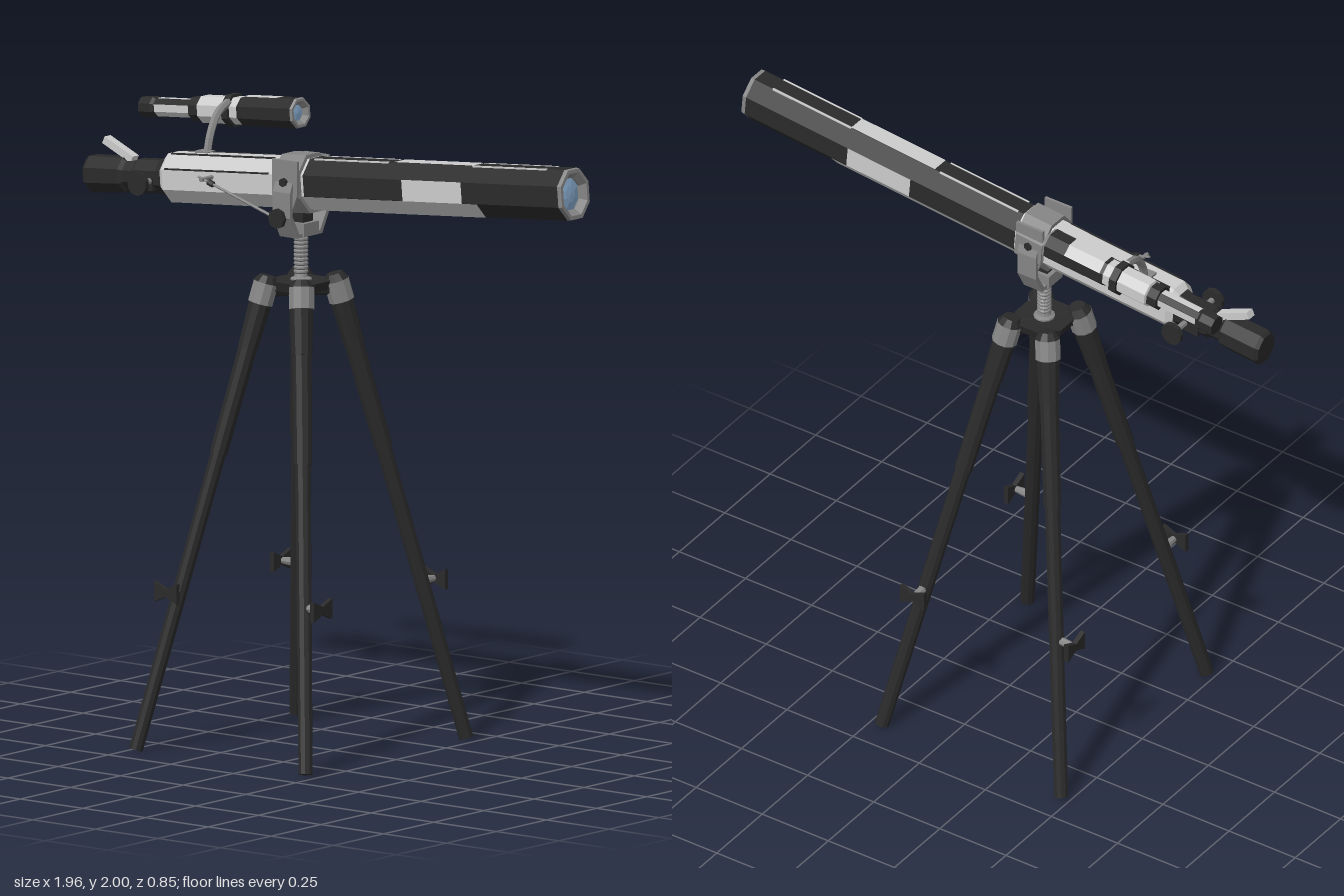
import * as THREE from 'three';

const mat = (color, extra = {}) =>
  new THREE.MeshStandardMaterial({ color, flatShading: true, ...extra });
const GREY = mat(0xcccccc);
const MID = mat(0x858585);
const DARK = mat(0x2a2a2a);
const GLASS = mat(0x86a9cc);
const V = (x, y, z) => new THREE.Vector3(x, y, z);

function add(parent, name, geometry, material, x = 0, y = 0, z = 0) {
  const mesh = new THREE.Mesh(geometry, material);
  mesh.name = name;
  mesh.position.set(x, y, z);
  parent.add(mesh);
  return mesh;
}

const box = (w, h, d) => new THREE.BoxGeometry(w, h, d);
const SECTOR = Math.PI / 4;
const CORNER = 1 / Math.cos(SECTOR / 2);

// Octagonal turned body along +x; profile entries are [x, distance to flat]
function octagon(profile, squash = 1) {
  const pts = profile.map(([x, r]) => new THREE.Vector2(r * CORNER, x));
  return new THREE.LatheGeometry(pts, 8, SECTOR / 2)
    .rotateZ(-Math.PI / 2).scale(1, 1, squash);
}

// One flat of an octagonal tube: 0 = +z, 2 = under, 4 = -z, 6 = top
function panel(x0, x1, r, index, squash = 1) {
  const R = (r + 0.0015) * CORNER;
  return new THREE.CylinderGeometry(R, R, x1 - x0, 1, 1, true, (index - 0.5) * SECTOR, SECTOR)
    .rotateZ(-Math.PI / 2).translate((x0 + x1) / 2, 0, 0).scale(1, 1, squash);
}

// Straight round bar between two points
function bar(parent, name, a, b, ra, rb, material, sides = 10) {
  const mesh = add(parent, name, new THREE.CylinderGeometry(rb, ra, a.distanceTo(b), sides), material);
  mesh.position.copy(a).lerp(b, 0.5);
  mesh.quaternion.setFromUnitVectors(V(0, 1, 0), b.clone().sub(a).normalize());
  return mesh;
}

// Bow-tie wing nut with its stem, pointing along +z
function wingNut() {
  const g = new THREE.Group();
  g.name = 'wingNut';
  const s = new THREE.Shape([[-0.045, -0.032], [0, -0.012], [0.045, -0.032], [0.045, 0.032],
    [0, 0.012], [-0.045, 0.032]].map(p => new THREE.Vector2(...p)));
  add(g, 'wings', new THREE.ExtrudeGeometry(s, { depth: 0.016, bevelEnabled: false }), DARK, 0, 0, 0.06);
  bar(g, 'stem', V(0, 0, 0), V(0, 0, 0.065), 0.016, 0.01, MID, 8);
  return g;
}

function buildTripod() {
  const g = new THREE.Group();
  g.name = 'tripod';
  for (const [sx, sz, turn] of [[1, 1, Math.PI / 2], [1, -1, Math.PI], [-1, -1, -Math.PI / 2], [-1, 1, 0]]) {
    const leg = new THREE.Group();
    leg.name = 'leg';
    const at = y => {
      const t = y / 1.48;
      return V(sx * (0.34 - 0.27 * t), y, sz * (0.402 - 0.317 * t));
    };
    bar(leg, 'lowerLeg', at(0.008), at(0.95), 0.023, 0.025, DARK);
    bar(leg, 'middleLeg', at(0.94), at(1.29), 0.029, 0.031, DARK);
    bar(leg, 'legSleeve', at(1.27), at(1.44), 0.033, 0.038, DARK);
    bar(leg, 'legClamp', at(1.41), at(1.475), 0.041, 0.041, MID);
    bar(leg, 'legCap', at(1.475), at(1.497), 0.041, 0.026, DARK);
    bar(leg, 'hinge', V(0, 1.455, 0), at(1.455), 0.024, 0.028, DARK, 8);
    const nut = wingNut();
    nut.position.copy(at(0.51));
    nut.rotation.y = turn;
    leg.add(nut);
    g.add(leg);
  }
  add(g, 'hub', new THREE.CylinderGeometry(0.095, 0.085, 0.03, 8, 1, false, SECTOR / 2), DARK, 0, 1.465, 0);

  // Ribbed centre column
  const rib = [[0, 1.44], [0.034, 1.44], [0.034, 1.485], [0.022, 1.49]];
  for (let i = 0; i < 10; i++) {
    const y = 1.5 + i * 0.013;
    rib.push([0.019, y], [0.023, y + 0.004], [0.023, y + 0.009]);
  }
  rib.push([0.02, 1.64], [0, 1.64]);
  add(g, 'column', new THREE.LatheGeometry(rib.map(p => new THREE.Vector2(...p)), 12), MID);
  return g;
}

function buildMount() {
  const g = new THREE.Group();
  g.name = 'mount';
  // U-shaped fork with thin walls
  const half = [[0.086, 1.80], [0.098, 1.77], [0.098, 1.69], [0.062, 1.622]];
  const inner = [[0.052, 1.634], [0.086, 1.695], [0.086, 1.765], [0.076, 1.80]];
  const right = half.map(([x, y]) => [x, y]);
  const left = half.map(([x, y]) => [-x, y]).reverse();
  const inLeft = inner.map(([x, y]) => [-x, y]).reverse();
  const u = new THREE.Shape([...right, ...left, ...inLeft, ...inner].map(p => new THREE.Vector2(...p)));
  add(g, 'fork', new THREE.ExtrudeGeometry(u, { depth: 0.07, bevelEnabled: false })
    .translate(0, 0, -0.035).rotateY(Math.PI / 2), MID);
  add(g, 'forkBase', box(0.085, 0.042, 0.075), MID, 0, 1.645, 0);
  add(g, 'saddleNeck', box(0.055, 0.05, 0.05), DARK, 0, 1.685, 0);
  for (const s of [-1, 1]) {
    // Saddle cheeks narrow towards the bottom
    const cheek = new THREE.Shape([[-0.05, 1.87], [-0.05, 1.76], [-0.025, 1.7], [0.025, 1.7],
      [0.05, 1.76], [0.05, 1.87]].map(p => new THREE.Vector2(...p)));
    add(g, 'saddleCheek', new THREE.ExtrudeGeometry(cheek, { depth: 0.01, bevelEnabled: false }),
      MID, 0, 0, s * 0.078 - 0.005);
    bar(g, 'pivotBolt', V(0, 1.8, s * 0.075), V(0, 1.8, s * 0.095), 0.014, 0.014, DARK, 6);
  }
  bar(g, 'lockAxle', V(0, 1.69, 0.09), V(0, 1.69, 0.115), 0.009, 0.009, MID, 8);
  bar(g, 'lockKnob', V(0, 1.69, 0.113), V(0, 1.69, 0.126), 0.032, 0.032, DARK, 8);
  // Fine adjustment rod with a small handle
  bar(g, 'adjustmentRod', V(0, 1.68, 0.1), V(-0.33, 1.782, 0.1), 0.005, 0.004, MID, 6);
  bar(g, 'rodCollar', V(-0.27, 1.763, 0.1), V(-0.29, 1.77, 0.1), 0.01, 0.01, DARK, 6);
  bar(g, 'rodHandle', V(-0.31, 1.776, 0.055), V(-0.31, 1.776, 0.115), 0.007, 0.007, MID, 6);
  return g;
}

function buildMainTube() {
  const g = new THREE.Group();
  g.name = 'mainTube';
  const q = 0.87;
  add(g, 'rearBody', octagon([[-0.535, 0], [-0.535, 0.06], [-0.515, 0.077], [0.06, 0.079]], q), GREY);
  add(g, 'frontBody', octagon([[0.06, 0.06], [0.06, 0.08], [1.09, 0.08]], q), DARK);
  add(g, 'frontRim', octagon([[1.09, 0.08], [1.104, 0.078], [1.104, 0.066], [1.085, 0.05], [1.07, 0.05]], q), MID);
  add(g, 'lens', octagon([[1.078, 0.052], [1.084, 0.025], [1.086, 0]], q), GLASS);
  add(g, 'saddleBand', octagon([[-0.05, 0.078], [-0.05, 0.092], [0.05, 0.092], [0.05, 0.078]], q), MID);

  // Pale panels on the dark front body
  for (const [x0, x1, face] of [[0.4, 0.72, 6], [0.46, 0.7, 0], [0.46, 0.7, 4],
    [0.062, 0.76, 1], [0.062, 0.76, 3], [0.062, 0.82, 2]])
    add(g, 'palePanel', panel(x0, x1, 0.08, face, q), GREY);

  // Slim strips along the upper edges
  for (const s of [-1, 1]) {
    add(g, 'rearStrip', box(0.42, 0.005, 0.006), DARK, -0.29, 0.077, s * 0.029);
    add(g, 'sideStrip', box(0.42, 0.005, 0.005), DARK, -0.29, 0.034, s * 0.068);
    for (const x of [0.23, 0.87])
      add(g, 'frontStrip', box(0.3, 0.005, 0.006), GREY, x, 0.079, s * 0.029);
  }

  // Focuser and eyepiece
  add(g, 'focuser', octagon([[-0.7, 0.044], [-0.66, 0.044], [-0.65, 0.052], [-0.56, 0.052], [-0.53, 0.06]], q), DARK);
  add(g, 'eyepiece', octagon([[-0.855, 0], [-0.855, 0.05], [-0.843, 0.057], [-0.71, 0.055], [-0.695, 0.04]], q), DARK);
  add(g, 'focuserBlock', box(0.06, 0.04, 0.1), DARK, -0.6, -0.02, 0);
  bar(g, 'focusAxle', V(-0.58, -0.01, -0.115), V(-0.58, -0.01, 0.105), 0.01, 0.01, MID, 8);
  for (const z of [-0.118, 0.105])
    bar(g, 'focusKnob', V(-0.58, -0.01, z - 0.008), V(-0.58, -0.01, z + 0.008), 0.038, 0.038, DARK, 10);
  const lever = add(g, 'eyepieceLever', box(0.125, 0.024, 0.03), GREY, -0.735, 0.078, -0.005);
  lever.rotation.z = -0.5;
  return g;
}

function buildFinder() {
  const g = new THREE.Group();
  g.name = 'finderScope';
  add(g, 'finderEyepiece', octagon([[-0.318, 0], [-0.318, 0.03], [-0.27, 0.032], [-0.26, 0.027], [-0.1, 0.027]]), DARK);
  add(g, 'finderCollar', octagon([[-0.11, 0.026], [-0.11, 0.037], [-0.075, 0.037], [-0.075, 0.03]]), DARK);
  add(g, 'finderBody', octagon([[-0.075, 0.03], [-0.07, 0.042], [0.09, 0.042]]), GREY);
  add(g, 'finderHood', octagon([[0.09, 0.042], [0.1, 0.045], [0.31, 0.047]]), DARK);
  add(g, 'finderRim', octagon([[0.31, 0.047], [0.318, 0.044], [0.318, 0.036], [0.305, 0.025], [0.295, 0.025]]), MID);
  add(g, 'finderLens', octagon([[0.3, 0.027], [0.304, 0]]), GLASS);
  add(g, 'finderRing', octagon([[0.035, 0.041], [0.035, 0.051], [0.06, 0.051], [0.06, 0.041]]), DARK);
  for (const face of [5, 6]) add(g, 'hoodPanel', panel(0.1, 0.235, 0.0455, face), GREY);
  for (const face of [0, 1, 4, 6]) add(g, 'eyepiecePanel', panel(-0.255, -0.112, 0.027, face), GREY);
  return g;
}

export function createModel() {
  const model = new THREE.Group();
  model.name = 'telescope';

  const stand = new THREE.Group();
  stand.name = 'stand';
  stand.position.x = -0.13;
  stand.add(buildTripod(), buildMount());

  const tube = buildMainTube();
  tube.position.set(-0.13, 1.787, -0.008);
  tube.rotation.set(0, -0.013, 0.0845);

  const finder = buildFinder();
  finder.position.set(-0.615, 1.93, -0.215);
  finder.rotation.set(0, -0.013, 0.0845);

  // Curved arm holding the finder
  const arm = new THREE.CatmullRomCurve3([V(-0.54, 1.8, -0.04), V(-0.545, 1.88, -0.065),
    V(-0.555, 1.94, -0.115), V(-0.565, 1.965, -0.18)]);
  add(model, 'finderArm', new THREE.TubeGeometry(arm, 10, 0.013, 6), MID);
  add(model, 'finderArmFoot', box(0.05, 0.02, 0.04), MID, -0.54, 1.825, -0.035);

  model.add(stand, tube, finder);
  return model;
}
